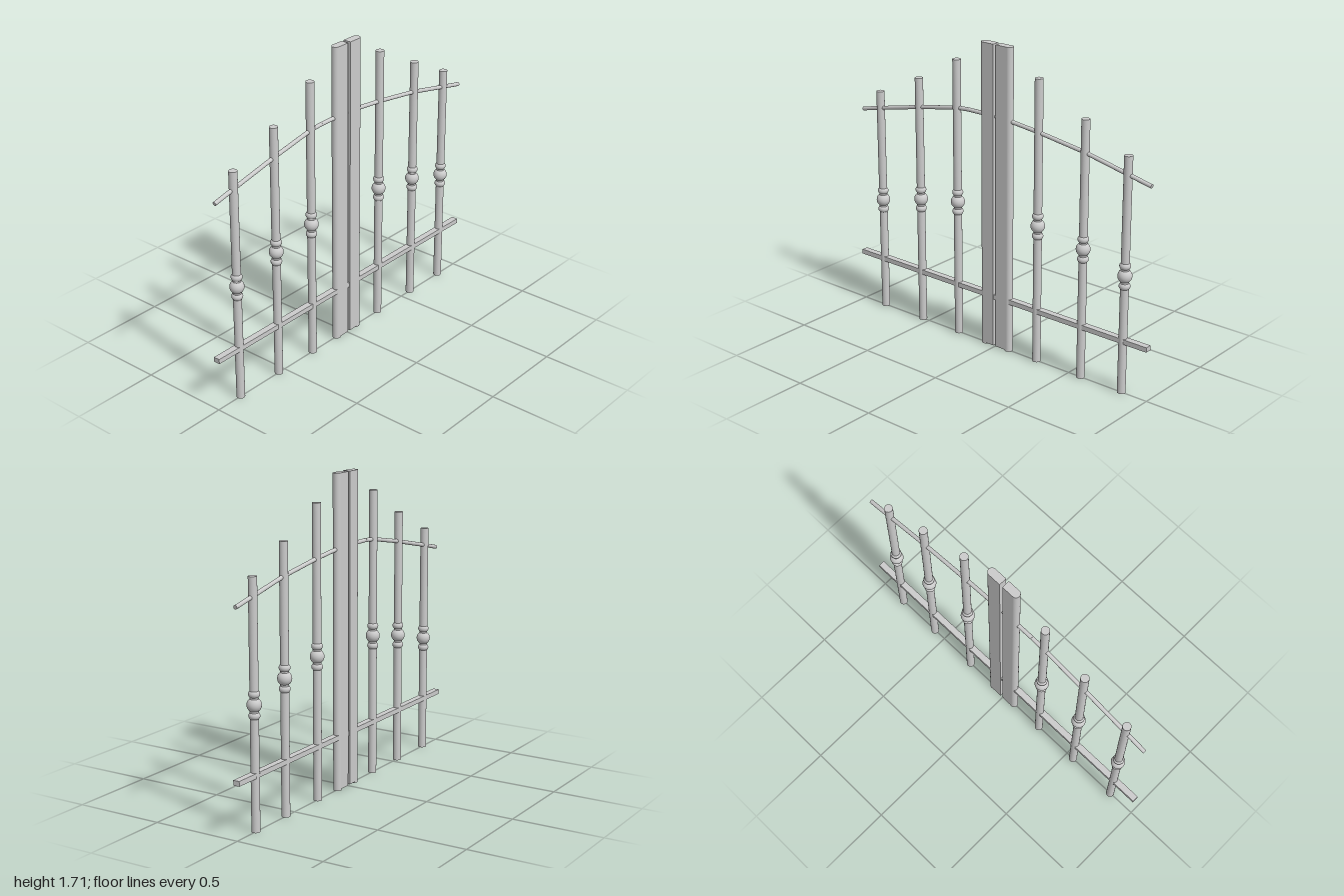
import * as THREE from 'three';

export function createModel() {
  const group = new THREE.Group();
  const mat = new THREE.MeshStandardMaterial({ color: 0xcccccc });

  function add(name, geometry, x, y, z = 0, parent = group) {
    const mesh = new THREE.Mesh(geometry, mat);
    mesh.name = name;
    mesh.position.set(x, y, z);
    parent.add(mesh);
    return mesh;
  }

  // Round balusters: x, height, height of the bead cluster
  const balusters = [
    [-0.837, 1.295, 0.655], [-0.545, 1.427, 0.73], [-0.273, 1.58, 0.78],
    [0.281, 1.58, 0.78], [0.578, 1.427, 0.73], [0.842, 1.295, 0.655],
  ];
  for (const [x, height, beadY] of balusters) {
    const baluster = new THREE.Group();
    baluster.name = 'baluster';
    baluster.position.x = x;
    group.add(baluster);
    add('bar', new THREE.CylinderGeometry(0.0225, 0.0225, height, 32), 0, height / 2, 0, baluster);
    add('largeBead', new THREE.SphereGeometry(0.038, 32, 20), 0, beadY, 0, baluster);
    for (const s of [-1, 1]) {
      const bead = add('smallBead', new THREE.SphereGeometry(0.03, 32, 16), 0, beadY + s * 0.055, 0, baluster);
      bead.scale.y = 0.8;
    }
  }

  // Centre posts: a round outer edge joined to a flat inner plate
  const postTop = 1.71, r = 0.0225, plateBottom = 0.008;
  for (const [name, roundX, innerX] of [['rightPost', -0.074, -0.004], ['leftPost', 0.087, 0.014]]) {
    const post = new THREE.Group();
    post.name = name;
    group.add(post);
    add('roundEdge', new THREE.CylinderGeometry(r, r, postTop, 32), roundX, postTop / 2, 0, post);
    add('plate', new THREE.BoxGeometry(Math.abs(innerX - roundX), postTop - plateBottom, 2 * r),
      (roundX + innerX) / 2, (postTop + plateBottom) / 2, 0, post);
  }

  // Straight lower rail
  add('lowerRail', new THREE.BoxGeometry(2, 0.027, 0.036), 0, 0.297);

  // Arched upper rail made of straight rods
  const arch = [
    [-0.97, 1.167], [-0.837, 1.197], [-0.545, 1.261], [-0.273, 1.313], [-0.19, 1.319], [0, 1.319],
    [0.1, 1.312], [0.281, 1.293], [0.578, 1.251], [0.842, 1.196], [0.985, 1.167],
  ].map(([x, y]) => new THREE.Vector3(x, y, 0));
  const upperRail = new THREE.Group();
  upperRail.name = 'upperRail';
  group.add(upperRail);
  for (let i = 0; i < arch.length - 1; i++) {
    const dir = arch[i + 1].clone().sub(arch[i]);
    const mid = arch[i].clone().add(arch[i + 1]).multiplyScalar(0.5);
    const rod = add('railSegment', new THREE.CylinderGeometry(0.011, 0.011, dir.length(), 16), mid.x, mid.y, 0, upperRail);
    rod.quaternion.setFromUnitVectors(new THREE.Vector3(0, 1, 0), dir.normalize());
  }

  return group;
}
